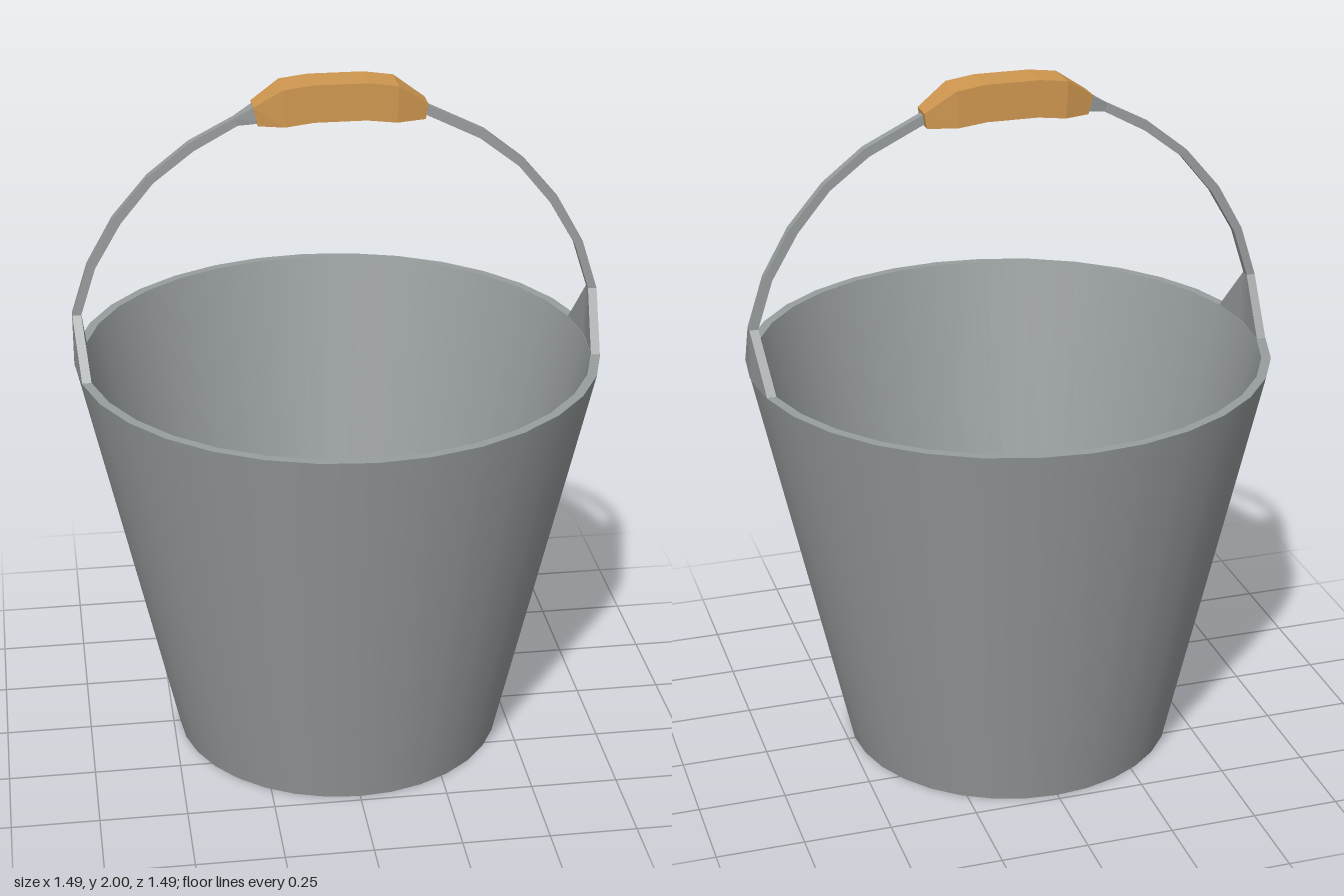
import * as THREE from 'three';

const metal = new THREE.MeshStandardMaterial({ color: 0x989d9e });
metal.name = 'galvanised grey';
const wood = new THREE.MeshStandardMaterial({ color: 0xd09850 });
wood.name = 'warm wood';

// Skin a row of four-cornered sections and cap both ends, with flat faces
function loft(sections) {
  const pos = [];
  const quad = (a, b, c, d) => pos.push(...a, ...b, ...c, ...a, ...c, ...d);
  for (let i = 0; i < sections.length - 1; i++) {
    const s = sections[i], t = sections[i + 1];
    for (let k = 0; k < 4; k++) {
      const n = (k + 1) % 4;
      quad(s[k], s[n], t[n], t[k]);
    }
  }
  const [a, b, c, d] = sections[0];
  quad(a, d, c, b);
  quad(...sections[sections.length - 1]);
  const geo = new THREE.BufferGeometry();
  geo.setAttribute('position', new THREE.Float32BufferAttribute(pos, 3));
  geo.computeVertexNormals();
  return geo;
}

// Section across the bail: upper point, lower point and half width in z
const section = ([xo, yo, xi, yi, w]) =>
  [[xo, yo, -w], [xo, yo, w], [xi, yi, w], [xi, yi, -w]];

export function createModel() {
  const group = new THREE.Group();
  const add = (name, geo, mat, parent = group) => {
    const mesh = new THREE.Mesh(geo, mat);
    mesh.name = name;
    parent.add(mesh);
    return mesh;
  };

  // Bucket body: separate turned pieces keep the edges sharp
  const bucket = new THREE.Group();
  bucket.name = 'bucket';
  group.add(bucket);
  const pieces = {
    outerWall: [[0.48, 0], [0.747, 1.2]],
    rim: [[0.747, 1.2], [0.72, 1.2]],
    innerWall: [[0.72, 1.2], [0.46, 0.025]],
    floor: [[0.46, 0.025], [0, 0.025]],
    underside: [[0, 0], [0.48, 0]],
  };
  for (const [name, pts] of Object.entries(pieces)) {
    const profile = pts.map(([r, y]) => new THREE.Vector2(r, y));
    add(name, new THREE.LatheGeometry(profile, 32), metal, bucket);
  }

  // Triangular ears rising from the rim, one on each side
  const earGeo = loft([
    [-0.145, 0.732, 0.706, 1.201],
    [-0.013, 0.747, 0.722, 1.35],
    [0.013, 0.747, 0.722, 1.35],
    [0.145, 0.732, 0.706, 1.201],
  ].map(([z, xo, xi, top]) => {
    const base = Math.abs(z) < 0.1 ? [0.747, 0.72] : [xo, xi];
    return [[xo, top, z], [xi, top, z], [base[1], 1.199, z], [base[0], 1.199, z]];
  }));
  add('leftEar', earGeo, metal);
  add('rightEar', earGeo, metal).rotation.y = Math.PI;

  // Wire bail, listed from the ear up to the grip
  const w = 0.013;
  const arc = [
    [0.747, 1.35, 0.722, 1.35, w],
    [0.7, 1.497, 0.678, 1.487, w],
    [0.625, 1.63, 0.603, 1.615, w],
    [0.525, 1.747, 0.51, 1.728, w],
    [0.41, 1.838, 0.397, 1.815, w],
  ];
  const left = [...arc, [0.23, 1.926, 0.22, 1.902, w]];
  const right = [...arc, [0.285, 1.903, 0.275, 1.882, w], [0.22, 1.942, 0.215, 1.89, 0.026]];
  const bail = [
    ...right.map(([xo, yo, xi, yi, h]) => [-xo, yo, -xi, yi, h]),
    ...left.reverse(),
  ];
  add('bail', loft(bail.map(section)), metal);

  // Wooden grip, bevelled towards both ends
  const grip = [
    [-0.235, 1.938, -0.222, 1.885, 0.034],
    [-0.155, 1.99, -0.15, 1.885, 0.055],
    [-0.075, 2.0, -0.07, 1.895, 0.055],
    [0.08, 2.0, 0.075, 1.895, 0.055],
    [0.162, 1.988, 0.158, 1.885, 0.055],
    [0.247, 1.928, 0.24, 1.885, 0.034],
  ];
  add('grip', loft(grip.map(section)), wood);

  return group;
}
